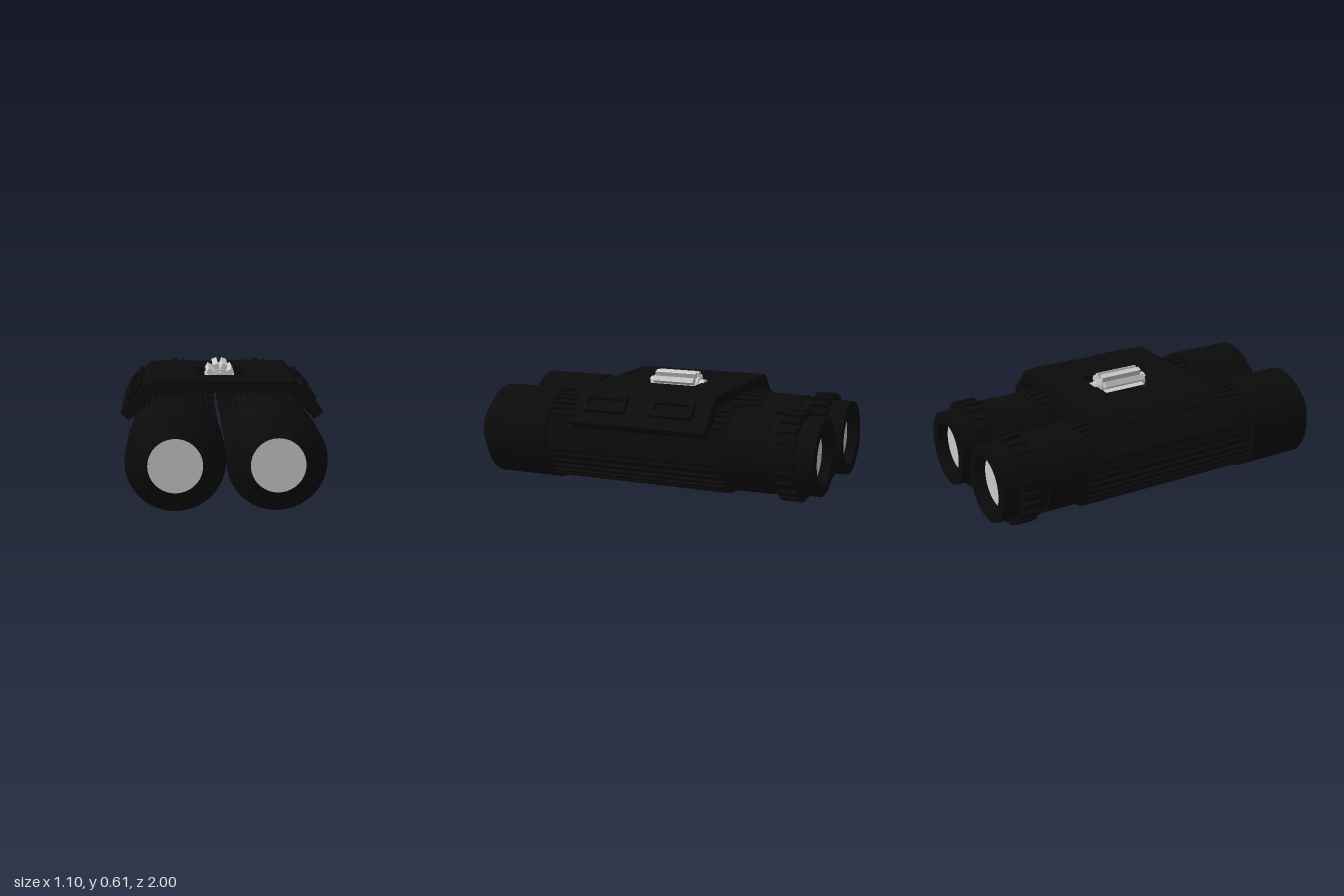
import * as THREE from 'three';
import { toCreasedNormals } from 'three/addons/utils/BufferGeometryUtils.js';

const black = new THREE.MeshStandardMaterial({ color: 0x0b0b0b });
const grey = new THREE.MeshStandardMaterial({ color: 0xcccccc });

function add(parent, name, geometry, material) {
  const mesh = new THREE.Mesh(geometry, material);
  mesh.name = name;
  parent.add(mesh);
  return mesh;
}

// Prism along z from a closed outline
function prism(shape, z0, z1) {
  const g = new THREE.ExtrudeGeometry(shape, { depth: z1 - z0, bevelEnabled: false });
  return g.translate(0, 0, z0);
}

const outline = (pts) => new THREE.Shape(pts.map(([x, y]) => new THREE.Vector2(x, y)));

// Toothed ring outline; fill is the tooth share of each step
function toothed(count, root, tip, fill, phase = 0) {
  const pts = [];
  const step = (Math.PI * 2) / count;
  for (let i = 0; i < count; i++) {
    const mid = phase + i * step;
    const half = (step * fill) / 2;
    const corners = [[root, -half * root / root], [tip, -half * root / tip], [tip, half * root / tip], [root, half]];
    for (const [r, a] of corners) pts.push([r * Math.cos(mid + a), r * Math.sin(mid + a)]);
  }
  return outline(pts);
}

// One optical tube, axis along z
function makeBarrel(name) {
  const barrel = new THREE.Group();
  barrel.name = name;

  // Turned body from the eyepiece cup to the objective
  const profile = [
    [0, -0.94], [0.14, -0.94], [0.15, -1], [0.207, -1], [0.207, -0.74],
    [0.22, -0.74], [0.22, -0.53], [0.224, -0.5], [0.224, 0.53],
    [0.253, 0.53], [0.253, 0.91], [0.139, 1], [0, 1],
  ].map(([r, z]) => new THREE.Vector2(r, z));
  const body = new THREE.LatheGeometry(profile, 64).rotateX(Math.PI / 2);
  add(barrel, 'barrelBody', toCreasedNormals(body, 0.4), black);

  // Ribbed grip with a chamfered rear end
  const gripShape = toothed(36, 0.226, 0.241, 0.55);
  add(barrel, 'ribbedGrip', prism(gripShape, -0.495, 0.535), black);
  const chamfer = prism(gripShape, -0.53, -0.495);
  const p = chamfer.attributes.position;
  for (let i = 0; i < p.count; i++) {
    if (p.getZ(i) < -0.52) p.setXY(i, p.getX(i) * 0.91, p.getY(i) * 0.91);
  }
  chamfer.computeVertexNormals();
  add(barrel, 'gripChamfer', chamfer, black);

  // Dioptre ring
  add(barrel, 'dioptreRing', prism(toothed(24, 0.226, 0.246, 0.6), -0.9, -0.8), black);

  // Lenses
  add(barrel, 'frontLens', new THREE.CircleGeometry(0.137, 64), grey).position.z = 1.001;
  const rear = add(barrel, 'rearLens', new THREE.CircleGeometry(0.139, 64), grey);
  rear.rotation.y = Math.PI;
  rear.position.z = -0.942;
  return barrel;
}

// Bridge plate with bent wings and an opening for the knob
function makeBridge() {
  const bridge = new THREE.Group();
  bridge.name = 'bridge';
  const top = 0.557, low = 0.497;
  const wing = [[0.365, low], [0.505, 0.35], [0.552, 0.39], [0.4, top]];
  const mirror = (pts) => pts.map(([x, y]) => [-x, y]).reverse();
  const full = outline([...wing, ...mirror(wing)]);
  add(bridge, 'bridgeFront', prism(full, 0.1, 0.34), black);
  add(bridge, 'bridgeRear', prism(full, -0.44, -0.21), black);
  const half = [[0.135, low], ...wing, [0.135, top]];
  add(bridge, 'bridgeLeft', prism(outline(half), -0.21, 0.1), black);
  add(bridge, 'bridgeRight', prism(outline(mirror(half)), -0.21, 0.1), black);

  // Raised rectangular frames on the sloping wings
  const frame = outline([[-0.125, -0.054], [0.125, -0.054], [0.125, 0.054], [-0.125, 0.054]]);
  frame.holes.push(outline([[-0.098, -0.027], [0.098, -0.027], [0.098, 0.027], [-0.098, 0.027]]));
  const frameGeometry = new THREE.ExtrudeGeometry(frame, { depth: 0.03, bevelEnabled: false });
  frameGeometry.translate(0, 0, -0.005);
  for (const side of [1, -1]) {
    const normal = new THREE.Vector3(side * 0.167, 0.152, 0).normalize();
    const along = new THREE.Vector3(0, 0, 1);
    const across = new THREE.Vector3().crossVectors(normal, along);
    for (const z of [0.165, -0.225]) {
      const m = add(bridge, 'wingFrame', frameGeometry, black);
      m.quaternion.setFromRotationMatrix(new THREE.Matrix4().makeBasis(along, across, normal));
      m.position.set(side * 0.468, 0.482, z);
    }
  }
  return bridge;
}

// Nine-toothed focus knob on its axle
function makeKnob() {
  const knob = new THREE.Group();
  knob.name = 'focusKnob';
  const tooth = new THREE.BoxGeometry(0.045, 0.03, 0.245).translate(0.0605, 0, -0.055);
  for (let i = 0; i < 9; i++) {
    const m = add(knob, 'knobTooth', tooth, grey);
    m.rotation.z = -Math.PI / 2 + (i * Math.PI * 2) / 9;
  }
  const core = new THREE.CylinderGeometry(0.052, 0.052, 0.275, 18).rotateX(Math.PI / 2);
  add(knob, 'knobCore', toCreasedNormals(core, 0.5), grey).position.z = -0.055;
  const axle = new THREE.CylinderGeometry(0.04, 0.04, 0.33, 18).rotateX(Math.PI / 2);
  add(knob, 'knobAxle', toCreasedNormals(axle, 0.5), grey).position.z = -0.058;
  knob.position.y = 0.533;
  return knob;
}

export function createModel() {
  const model = new THREE.Group();
  model.name = 'binoculars';
  for (const side of [1, -1]) {
    const barrel = makeBarrel(side > 0 ? 'leftBarrel' : 'rightBarrel');
    barrel.position.set(side * 0.254, 0.255, 0);
    model.add(barrel);
  }
  model.add(makeBridge(), makeKnob());
  return model;
}
